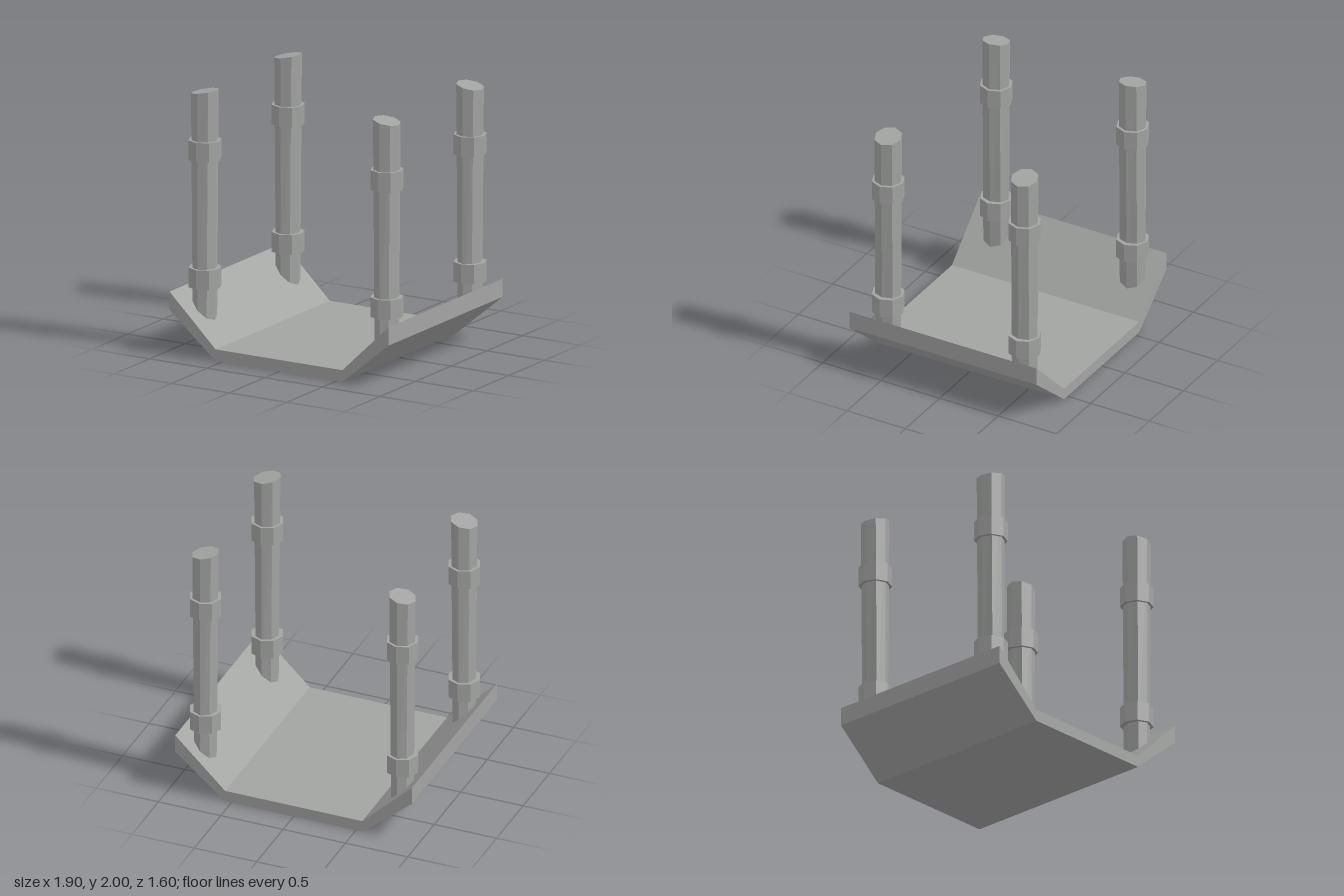
import * as THREE from 'three';

const steel = new THREE.MeshStandardMaterial({ color: 0xa2a4a2 });
steel.name = 'grey steel';

const POST_X = 0.79;

function mesh(name, geometry) {
  const m = new THREE.Mesh(geometry, steel);
  m.name = name;
  return m;
}

// Bent tray: one folded profile swept along z
function trayGeometry() {
  const shape = new THREE.Shape([
    [-0.55, 0], [0.55, 0], [0.95, 0.335], [0.95, 0.475],
    [0.55, 0.09], [-0.55, 0.09], [-0.95, 0.475], [-0.95, 0.335],
  ].map(([x, y]) => new THREE.Vector2(x, y)));
  const g = new THREE.ExtrudeGeometry(shape, { depth: 1.6, bevelEnabled: false });
  return g.translate(0, 0, -0.8);
}

// Octagonal post: narrows in x towards the foot, both ends cut at a slant
function postGeometry(side) {
  const g = new THREE.CylinderGeometry(0.105, 0.105, 1, 8).toNonIndexed();
  const p = g.attributes.position;
  for (let i = 0; i < p.count; i++) {
    const top = p.getY(i) > 0;
    const x = p.getX(i) * (top ? 1 : 0.82);
    const out = x * side; // distance outwards from the post's axis
    p.setX(i, x);
    p.setY(i, top ? 1.98 - 0.19 * out : 0.30 + 0.95 * out);
  }
  g.computeVertexNormals();
  return g;
}

// Octagonal collar
function collarGeometry() {
  const g = new THREE.CylinderGeometry(0.125, 0.125, 0.15, 8).toNonIndexed();
  g.computeVertexNormals();
  return g;
}

export function createModel() {
  const model = new THREE.Group();
  model.name = 'postedTray';
  model.add(mesh('tray', trayGeometry()));

  for (const side of [-1, 1]) {
    for (const z of [0.563, -0.604]) {
      const stake = new THREE.Group();
      stake.name = (z > 0 ? 'front' : 'back') + (side > 0 ? 'Left' : 'Right') + 'Stake';
      stake.position.set(side * POST_X, 0, z);
      stake.add(mesh('post', postGeometry(side)));
      for (const [name, y] of [['lowerCollar', 0.56], ['upperCollar', 1.535]]) {
        const collar = mesh(name, collarGeometry());
        collar.position.y = y;
        stake.add(collar);
      }
      model.add(stake);
    }
  }
  return model;
}
